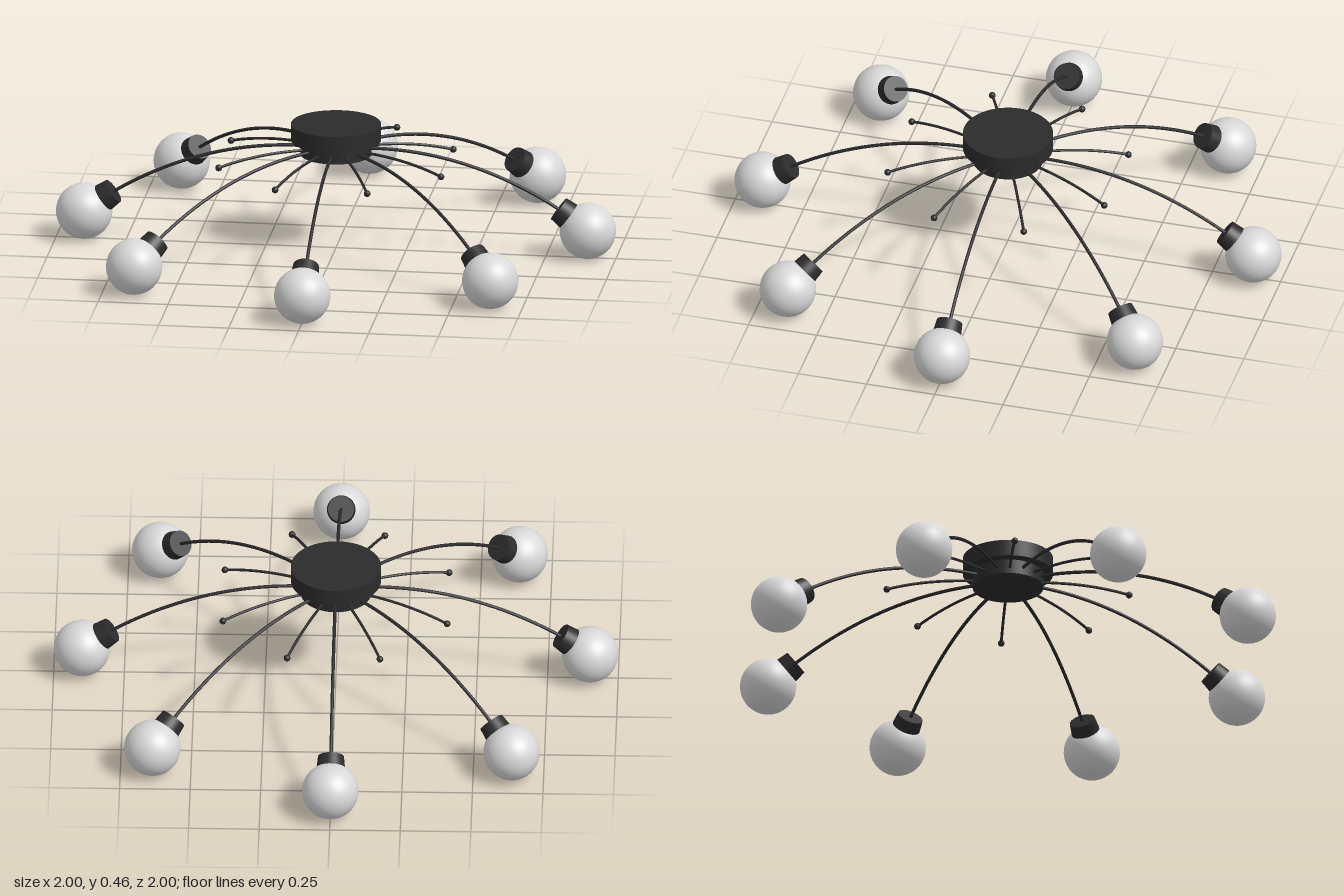
import * as THREE from 'three';

export function createModel() {
  const darkMetal = new THREE.MeshStandardMaterial({ color: 0x2b2b2b });
  darkMetal.name = 'dark metal';
  const frostedGlass = new THREE.MeshStandardMaterial({ color: 0xd8d8d8 });
  frostedGlass.name = 'frosted glass';

  const model = new THREE.Group();
  model.name = 'ceilingLight';

  function add(parent, name, geometry, material, x = 0, y = 0) {
    const mesh = new THREE.Mesh(geometry, material);
    mesh.name = name;
    mesh.position.set(x, y, 0);
    parent.add(mesh);
    return mesh;
  }

  // Tube bending in the x-y plane
  function rod(start, control, end, radius) {
    const v = ([x, y]) => new THREE.Vector3(x, y, 0);
    const path = new THREE.QuadraticBezierCurve3(v(start), v(control), v(end));
    return new THREE.TubeGeometry(path, 24, radius, 10);
  }

  // Ceiling canopy and the hub beneath it
  add(model, 'canopy', new THREE.CylinderGeometry(0.16, 0.16, 0.06, 64), darkMetal, 0, 0.43);
  add(model, 'hub', new THREE.CylinderGeometry(0.125, 0.125, 0.055, 64), darkMetal, 0, 0.3745);

  // Shared shapes for the two kinds of arm
  const longRod = rod([0.1, 0.374], [0.48, 0.385], [0.82, 0.16], 0.006);
  const shortRod = rod([0.1, 0.37], [0.28, 0.375], [0.43, 0.33], 0.005);
  const globe = new THREE.SphereGeometry(0.1, 40, 28);
  const tip = new THREE.SphereGeometry(0.012, 16, 12);
  const socket = new THREE.CylinderGeometry(0.046, 0.052, 0.055, 32);

  for (let i = 0; i < 8; i++) {
    const angle = (i * Math.PI) / 4;

    // Long arm with a socket and a glass globe
    const lampArm = new THREE.Group();
    lampArm.name = 'lampArm';
    lampArm.rotation.y = angle;
    add(lampArm, 'longRod', longRod, darkMetal);
    const cap = add(lampArm, 'socket', socket, darkMetal, 0.818, 0.161);
    cap.rotation.z = Math.atan2(0.082, 0.061); // axis points back from the globe
    add(lampArm, 'globe', globe, frostedGlass, 0.9, 0.1);
    model.add(lampArm);

    // Short decorative arm halfway between the long ones
    const shortArm = new THREE.Group();
    shortArm.name = 'shortArm';
    shortArm.rotation.y = angle + Math.PI / 8;
    add(shortArm, 'shortRod', shortRod, darkMetal);
    add(shortArm, 'tip', tip, darkMetal, 0.43, 0.33);
    model.add(shortArm);
  }
  return model;
}
